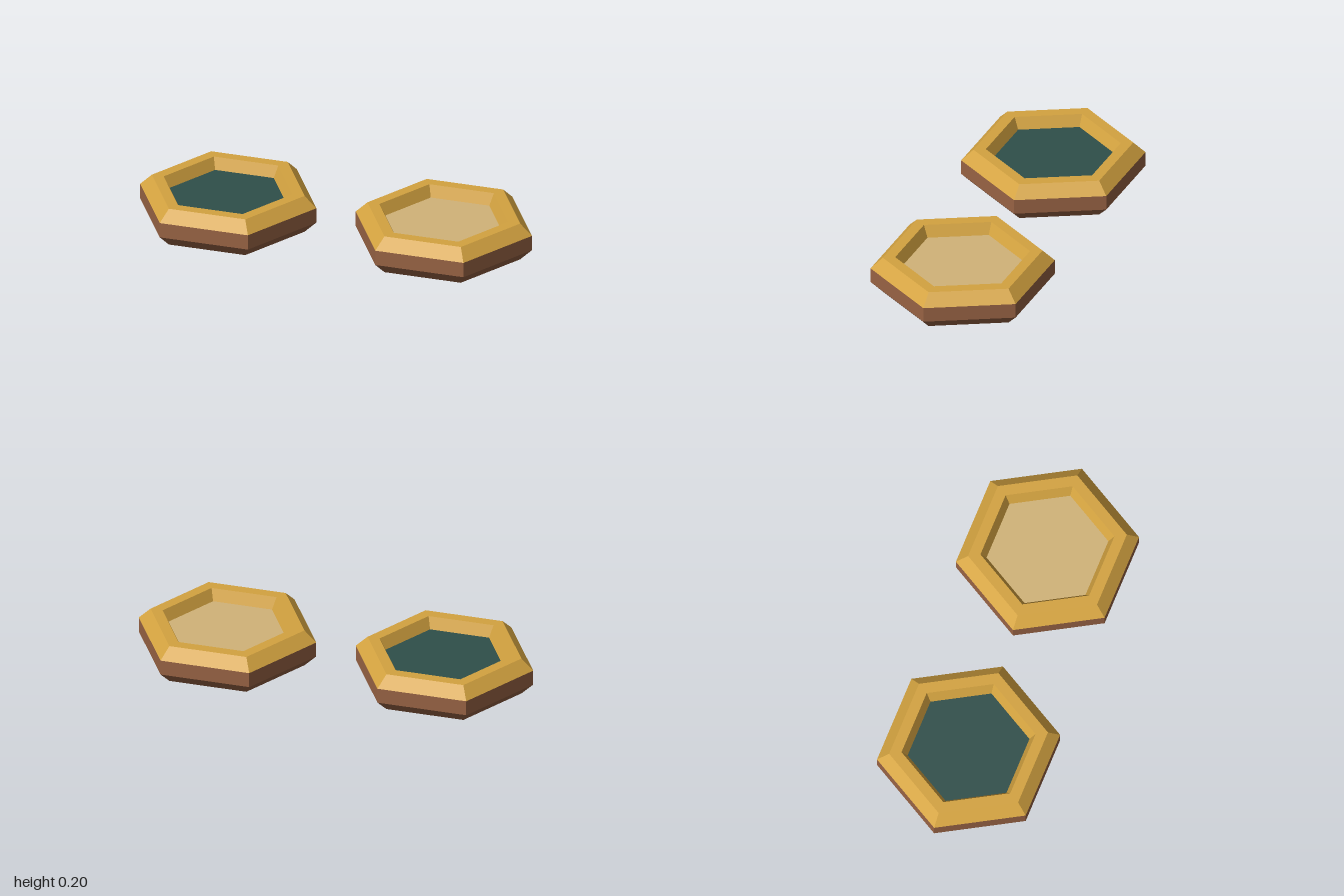
import * as THREE from 'three';

const mat = (name, color) => {
  const m = new THREE.MeshStandardMaterial({ color, flatShading: true });
  m.name = name;
  return m;
};

// Six-sided part turned from a profile of [radius, height] points
function hexPart(name, profile, material) {
  const points = profile.map(([r, y]) => new THREE.Vector2(r, y));
  const mesh = new THREE.Mesh(new THREE.LatheGeometry(points, 6, Math.PI / 12), material);
  mesh.name = name;
  return mesh;
}

export function createModel() {
  const gold = mat('gold', 0xd4a340);
  const brown = mat('brown', 0x986344);
  const green = mat('darkGreen', 0x2f4f4a);
  const tan = mat('tan', 0xd1b378);

  function tile(name, x, z, floorMaterial) {
    const group = new THREE.Group();
    group.name = name;
    group.position.set(x, 0, z);
    group.add(
      // Base with a chamfered foot
      hexPart('base', [[0, 0], [0.404, 0], [0.466, 0.06], [0.466, 0.14]], brown),
      // Bevelled rim with sloping inner walls
      hexPart('rim', [[0.466, 0.14], [0.404, 0.2], [0.341, 0.2], [0.31, 0.14]], gold),
      // Sunken floor
      hexPart('floor', [[0.31, 0.14], [0, 0.14]], floorMaterial)
    );
    return group;
  }

  const model = new THREE.Group();
  model.name = 'hexTiles';
  model.add(tile('greenTile', -0.55, -0.134, green), tile('tanTile', 0.55, 0.134, tan));
  return model;
}
